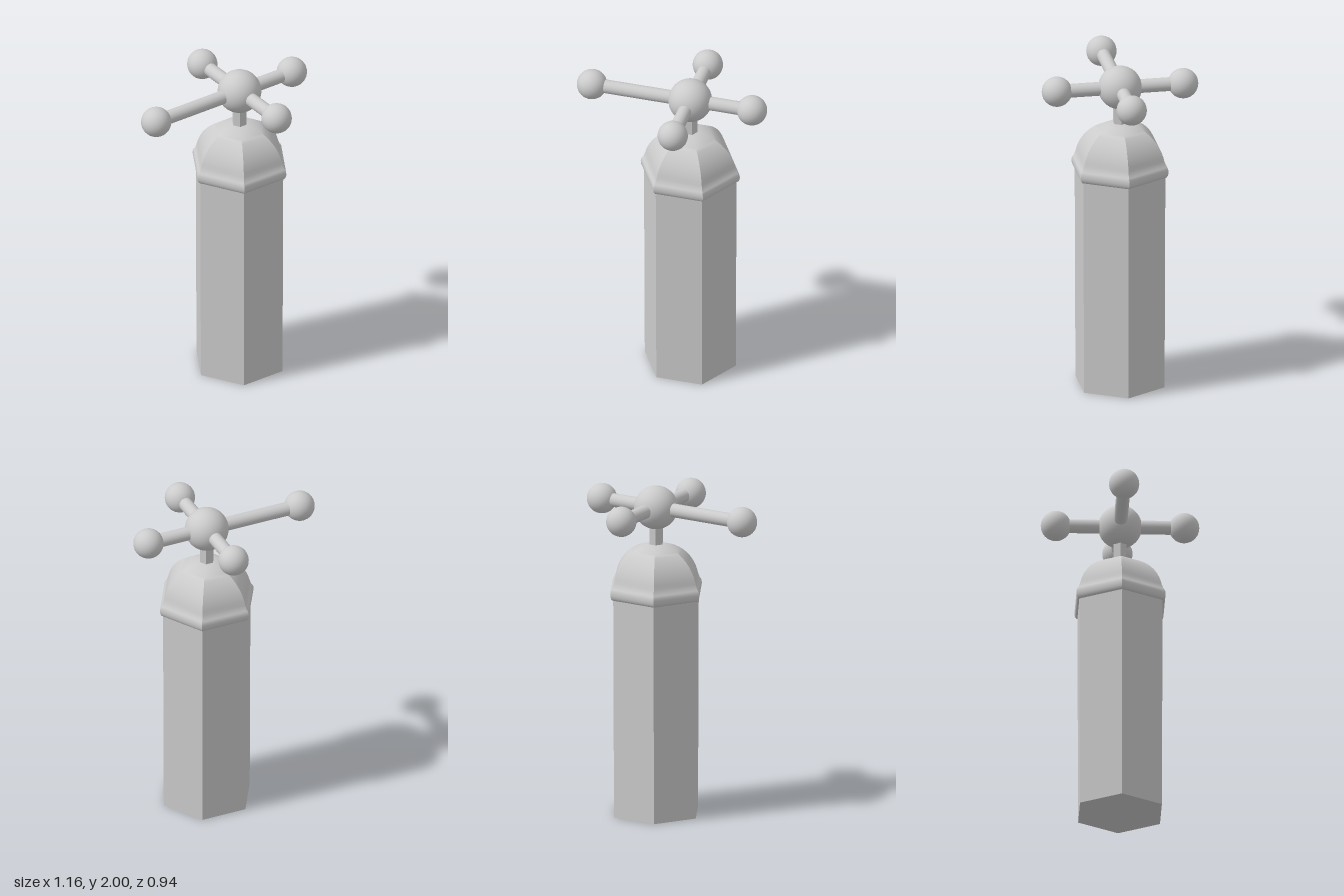
import * as THREE from 'three';
import { toCreasedNormals } from 'three/addons/utils/BufferGeometryUtils.js';

const material = new THREE.MeshStandardMaterial({ color: 0xcccccc });
const AXIS_X = 0.11; // the column stands off centre, balancing the long arm
const ARM_Y = 1.87;

function add(parent, name, geometry, x = 0, y = 0, z = 0) {
  const mesh = new THREE.Mesh(geometry, material);
  mesh.name = name;
  mesh.position.set(x, y, z);
  parent.add(mesh);
  return mesh;
}

// Six-sided lathe with corners on the x axis: crisp corners, smooth profile
function hexLathe(points) {
  const profile = points.map(([r, y]) => new THREE.Vector2(r, y));
  return toCreasedNormals(new THREE.LatheGeometry(profile, 6, Math.PI / 6), 0.6);
}

export function createModel() {
  const group = new THREE.Group();

  // Slightly flared hexagonal column, closed underneath
  add(group, 'column', hexLathe([[0, 0], [0.28, 0], [0.285, 1.335]]), AXIS_X);

  // Cap: rounded rim, then a faceted dome
  const cap = [[0.283, 1.325]];
  for (let i = 0; i <= 10; i++) {
    const a = -Math.PI / 2 + (i / 10) * Math.PI * 0.88;
    cap.push([0.283 + 0.022 * Math.cos(a), 1.37 + 0.038 * Math.sin(a)]);
  }
  for (let i = 1; i <= 16; i++) {
    const a = 0.12 + (i / 16) * (Math.PI / 2 - 0.12);
    cap.push([i === 16 ? 0 : 0.285 * Math.cos(a), 1.38 + 0.272 * Math.sin(a)]);
  }
  add(group, 'domedCap', hexLathe(cap), AXIS_X);

  // Neck and hub
  add(group, 'neck', hexLathe([[0.045, 1.62], [0.045, 1.78]]), AXIS_X);
  add(group, 'hub', new THREE.SphereGeometry(0.13, 40, 24), AXIS_X, ARM_Y);

  // Four arms with ball ends; the right one is longer
  const arms = [
    ['left', 0.38, 0],
    ['back', 0.38, Math.PI / 2],
    ['right', 0.605, Math.PI],
    ['front', 0.38, -Math.PI / 2],
  ];
  for (const [side, length, angle] of arms) {
    const arm = new THREE.Group();
    arm.name = side + 'Arm';
    arm.position.set(AXIS_X, ARM_Y, 0);
    arm.rotation.y = angle;
    const bar = new THREE.CylinderGeometry(0.041, 0.041, length, 32, 1, true);
    add(arm, side + 'Bar', bar.rotateZ(Math.PI / 2), length / 2);
    add(arm, side + 'Ball', new THREE.SphereGeometry(0.09, 32, 20), length);
    group.add(arm);
  }
  return group;
}
